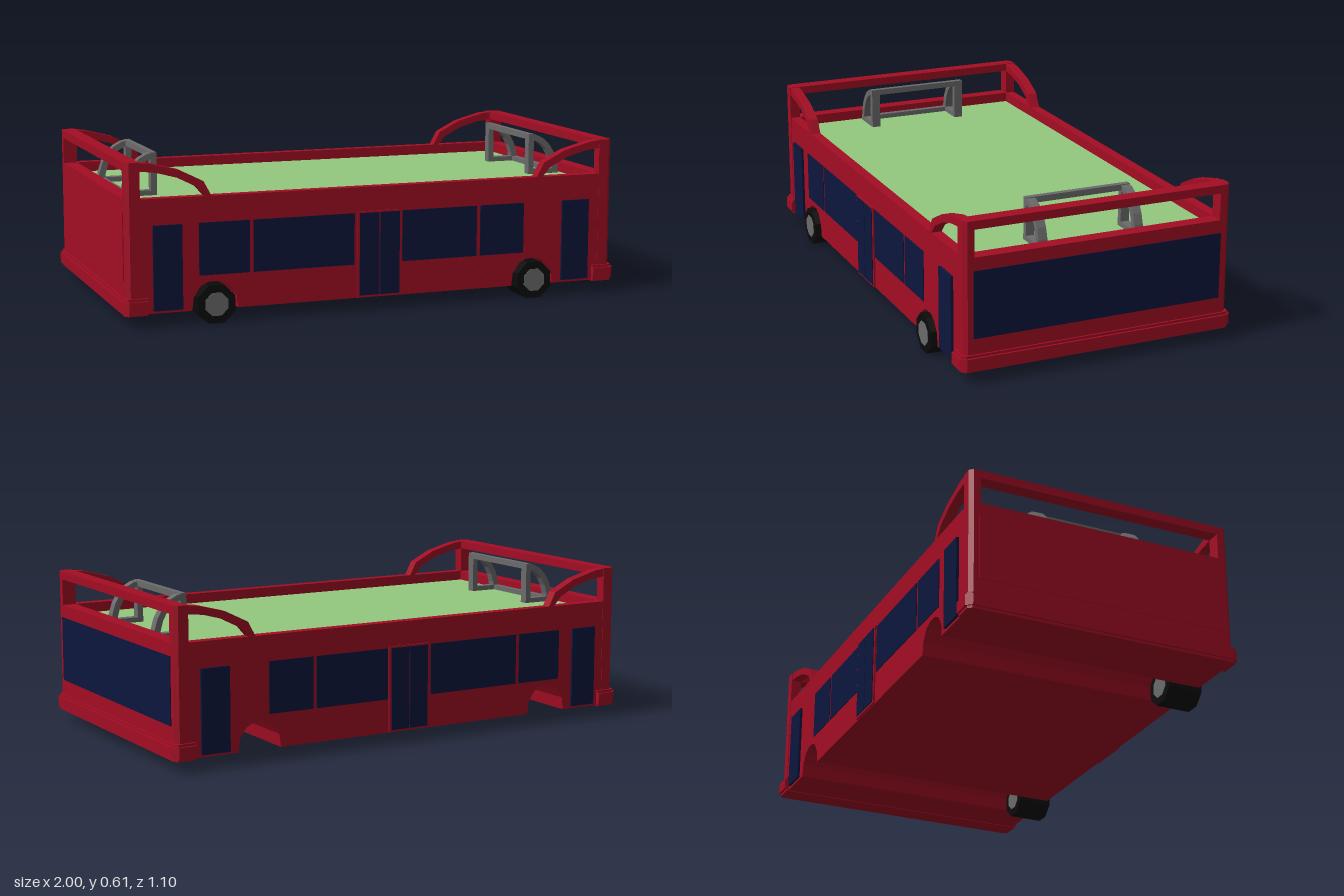
import * as THREE from 'three';

const paint = (color) => new THREE.MeshStandardMaterial({ color, flatShading: true });

export function createModel() {
  const bus = new THREE.Group();
  bus.name = 'openTopBus';
  const red = paint(0xa30d24), glass = paint(0x0c163c), black = paint(0x0b0b0b);
  const grey = paint(0x6b6b6b), green = paint(0x93c97f);

  const add = (name, geometry, material, parent = bus) => {
    const mesh = new THREE.Mesh(geometry, material);
    mesh.name = name;
    parent.add(mesh);
    return mesh;
  };
  // Box given by its limits on each axis
  const box = (name, [x0, x1], [y0, y1], [z0, z1], material, parent) =>
    add(name, new THREE.BoxGeometry(x1 - x0, y1 - y0, z1 - z0)
      .translate((x0 + x1) / 2, (y0 + y1) / 2, (z0 + z1) / 2), material, parent);
  const toShape = (points) => new THREE.Shape(points.map(([x, y]) => new THREE.Vector2(x, y)));
  // Side outline (x, y) extruded from z0 to z1
  const sideSlab = (points, z0, z1) =>
    new THREE.ExtrudeGeometry(toShape(points), { depth: z1 - z0, bevelEnabled: false }).translate(0, 0, z0);
  // Plan outline (x, z) extruded from y0 to y1
  const planSlab = (points, y0, y1) =>
    new THREE.ExtrudeGeometry(toShape(points.map(([x, z]) => [x, -z])), { depth: y1 - y0, bevelEnabled: false })
      .rotateX(-Math.PI / 2).translate(0, y0, 0);

  // Body: core and side walls share an outline with two wheel arches
  const arch = [[-0.088, 0.05], [-0.082, 0.1], [-0.055, 0.14], [-0.025, 0.155],
    [0.025, 0.155], [0.055, 0.14], [0.082, 0.1], [0.088, 0.05]];
  const wheelX = [-0.65, 0.645];
  const outline = (top) => [[-0.93, 0.05],
    ...wheelX.flatMap((cx) => arch.map(([x, y]) => [cx + x, y])),
    [0.93, 0.05], [0.93, top], [-0.93, top]];
  add('bodyCore', sideSlab(outline(0.43), -0.49, 0.49), red);
  add('leftWall', sideSlab(outline(0.475), 0.49, 0.53), red);
  add('rightWall', sideSlab(outline(0.475), -0.53, -0.49), red);
  box('pitch', [-0.93, 0.93], [0.43, 0.436], [-0.49, 0.49], green);

  const arm = [[0.93, 0.608], [0.89, 0.604], [0.78, 0.575], [0.69, 0.53], [0.66, 0.475],
    [0.685, 0.475], [0.715, 0.51], [0.79, 0.548], [0.87, 0.57], [0.93, 0.577]];

  for (const s of [-1, 1]) {
    const end = new THREE.Group();
    end.name = s > 0 ? 'leftEnd' : 'rightEnd';
    bus.add(end);
    const flip = (points) => points.map(([x, z]) => [s * x, z]);

    // End wall, corner posts, cross rail and bumper
    add('endWall', planSlab(flip([[0.93, -0.532], [0.97, -0.532], [0.985, -0.517],
      [0.985, 0.517], [0.97, 0.532], [0.93, 0.532]]), 0.05, 0.475), red, end);
    for (const t of [-1, 1]) {
      add('cornerPost', planSlab([[0.93, 0.49], [0.985, 0.49], [0.985, 0.517], [0.97, 0.532], [0.93, 0.532]]
        .map(([x, z]) => [s * x, t * z]), 0.475, 0.61), red, end);
      add('curvedRail', sideSlab(flip(arm), t > 0 ? 0.49 : -0.53, t > 0 ? 0.53 : -0.49), red, end);
    }
    const xr = (a, b) => (s > 0 ? [a, b] : [-b, -a]);
    box('crossRail', xr(0.93, 0.985), [0.578, 0.61], [-0.49, 0.49], red, end);
    const bumper = (grow) => flip([[0.907, -0.54 - grow], [0.98, -0.54 - grow], [0.992 + grow, -0.525],
      [0.992 + grow, 0.525], [0.98, 0.54 + grow], [0.907, 0.54 + grow]]);
    add('bumper', planSlab(bumper(0.008), 0.056, 0.1), red, end);
    add('bumperEdge', planSlab(bumper(0), 0.046, 0.11), red, end);

    // Windscreen on one end, plain panel on the other
    box(s > 0 ? 'windscreen' : 'endPanel', xr(0.98, 0.988), [0.17, 0.425], [-0.495, 0.495],
      s > 0 ? glass : red, end);

    // Goal frame with curved back struts
    const goal = new THREE.Group();
    goal.name = 'goal';
    end.add(goal);
    const curve = (rx, ry) => Array.from({ length: 7 }, (_, i) => {
      const a = (i / 6) * Math.PI / 2;
      return [0.785 + rx * Math.sin(a), 0.43 + ry * Math.cos(a)];
    });
    const strut = flip([...curve(0.13, 0.17), ...curve(0.105, 0.147).reverse()]);
    for (const z of [-0.21, 0.175]) {
      box('goalPost', xr(0.78, 0.803), [0.43, 0.6], [z, z + 0.035], grey, goal);
      add('goalStrut', sideSlab(strut, z, z + 0.035), grey, goal);
      box('goalFoot', xr(0.8, 0.89), [0.43, 0.455], [z, z + 0.035], grey, goal);
    }
    box('goalCrossbar', xr(0.78, 0.803), [0.577, 0.6], [-0.175, 0.175], grey, goal);
    box('goalBackBar', xr(0.89, 0.915), [0.43, 0.455], [-0.175, 0.175], grey, goal);
  }

  // Windows and doors, the same on both long sides
  const windows = [[-0.71, -0.515], [-0.5, -0.1], [0.095, 0.405], [0.42, 0.605]];
  const doors = [[-0.885, -0.775], [-0.081, -0.002], [0.002, 0.081], [0.77, 0.885]];
  for (const t of [-1, 1]) {
    const zr = (a, b) => (t > 0 ? [a, b] : [-b, -a]);
    for (const w of windows) box('window', w, [0.18, 0.377], zr(0.525, 0.533), glass);
    for (const d of doors) box('door', d, [0.06, 0.377], zr(0.525, 0.54), glass);
    box('doorFrame', [-0.09, 0.09], [0.052, 0.383], zr(0.525, 0.537), red);
  }

  // Two wheels, on the front side only
  for (const cx of wheelX) {
    const wheel = new THREE.Group();
    wheel.name = 'wheel';
    wheel.position.set(cx, 0.072, 0.48);
    bus.add(wheel);
    const disc = (r, depth) => new THREE.CylinderGeometry(r, r, depth, 8, 1, false, Math.PI / 8).rotateX(Math.PI / 2);
    add('tyre', disc(0.077, 0.14), black, wheel);
    add('hub', disc(0.047, 0.145), grey, wheel);
  }
  return bus;
}
